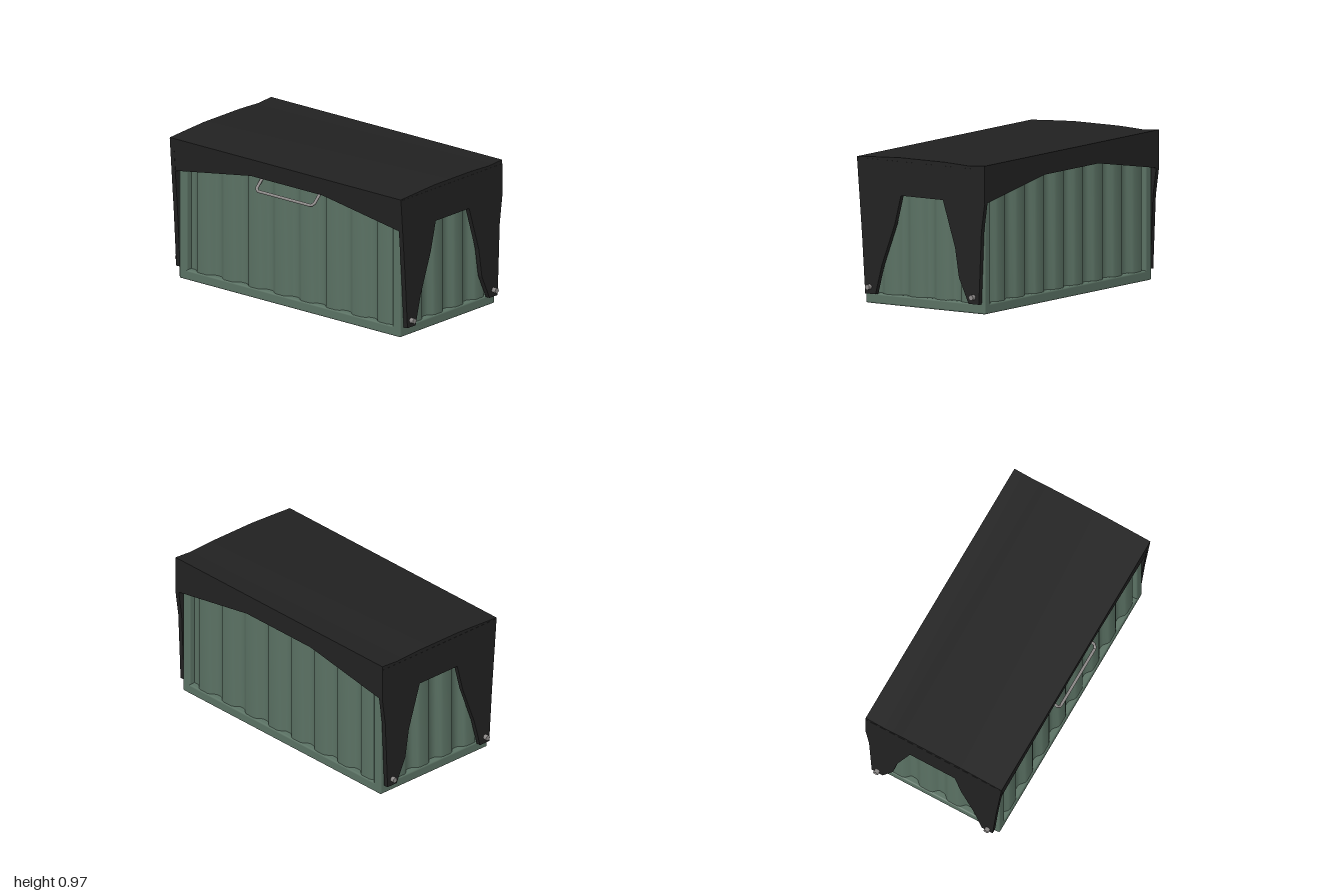
import * as THREE from 'three';
import { toCreasedNormals } from 'three/addons/utils/BufferGeometryUtils.js';
import { RoundedBoxGeometry } from 'three/addons/geometries/RoundedBoxGeometry.js';

const green = new THREE.MeshStandardMaterial({ color: 0x5a7163 });
green.name = 'container green';
const black = new THREE.MeshStandardMaterial({ color: 0x212121 });
black.name = 'cover black';
const steel = new THREE.MeshStandardMaterial({ color: 0x8d8a89 });
steel.name = 'steel grey';

// Container extents
const X = 0.93, FRONT = 0.445, BACK = -0.485, TOP = 0.935, RAIL = 0.067;
const MID = (FRONT + BACK) / 2, DEPTH = FRONT - BACK;

function add(parent, name, geometry, material) {
  const mesh = new THREE.Mesh(geometry, material);
  mesh.name = name;
  parent.add(mesh);
  return mesh;
}

function extrude(points, depth) {
  const shape = new THREE.Shape(points.map(([a, b]) => new THREE.Vector2(a, b)));
  return new THREE.ExtrudeGeometry(shape, { depth, bevelEnabled: false });
}

// Slab whose outline is given as [z, y], spanning x0 to x1
function sideSlab(points, x0, x1) {
  return extrude(points, x1 - x0).rotateY(-Math.PI / 2).translate(x1, 0, 0);
}

// Upright corrugated sheet facing +z, with its ridges at z = 0
function corrugated(length, waves) {
  const points = [[length / 2, 0.06], [-length / 2, 0.06]];
  const period = length / waves;
  for (let i = 0; i < waves; i++) {
    const start = -length / 2 + i * period;
    for (const [t, d] of [[0, 0.035], [0.16, 0.035], [0.24, 0.029], [0.36, 0.006],
      [0.44, 0], [0.76, 0], [0.84, 0.006], [0.96, 0.029]]) {
      points.push([start + t * period, d]);
    }
  }
  points.push([length / 2, 0.035]);
  const geometry = extrude(points, TOP - RAIL + 0.01).rotateX(-Math.PI / 2);
  return toCreasedNormals(geometry.translate(0, RAIL - 0.01, 0), 0.8);
}

function buildContainer(root) {
  const body = new THREE.Group();
  body.name = 'container';
  root.add(body);

  // Rails and corner posts
  const beam = (name, w, h, d, x, y, z) =>
    add(body, name, new RoundedBoxGeometry(w, h, d, 2, 0.012), green).position.set(x, y, z);
  for (const y of [RAIL / 2, TOP - RAIL / 2]) {
    for (const z of [FRONT - RAIL / 2, BACK + RAIL / 2]) beam('longRail', 2 * X, RAIL, RAIL, 0, y, z);
    for (const s of [-1, 1]) beam('endRail', RAIL, RAIL, DEPTH, s * (X - RAIL / 2), y, MID);
  }
  for (const s of [-1, 1]) {
    for (const z of [FRONT - RAIL / 2, BACK + RAIL / 2]) {
      beam('cornerPost', RAIL, TOP, RAIL, s * (X - RAIL / 2), TOP / 2, z);
    }
  }

  // Corrugated walls
  const long = 2 * (X - RAIL) + 0.01, short = DEPTH - 2 * RAIL + 0.01;
  add(body, 'frontWall', corrugated(long, 8), green).position.z = FRONT - 0.008;
  const back = add(body, 'backWall', corrugated(long, 8), green);
  back.rotation.y = Math.PI;
  back.position.z = BACK + 0.008;
  for (const s of [-1, 1]) {
    const end = add(body, 'endWall', corrugated(short, 4), green);
    end.rotation.y = s * Math.PI / 2;
    end.position.set(s * (X - 0.008), 0, MID);
  }

  // Recessed floor
  add(body, 'floor', new THREE.BoxGeometry(2 * X - 0.06, 0.02, DEPTH - 0.06), green)
    .position.set(0, 0.05, MID);
}

function buildCover(root) {
  const cover = new THREE.Group();
  cover.name = 'cover';
  root.add(cover);

  // Gently sagging top sheet
  const top = [[0.483, 0.925], [0.485, 0.946], [0.32, 0.956], [0.15, 0.965], [-0.2, 0.965],
    [-0.3, 0.961], [-0.38, 0.957], [-0.51, 0.966], [-0.51, 0.925]];
  add(cover, 'topSheet', toCreasedNormals(sideSlab(top, -0.973, 0.969), 0.5), black);

  // End sheets with a strap reaching down at each corner
  const end = [[0.42, 0.067], [0.445, 0.45], [0.484, 0.94], [-0.51, 0.94], [-0.51, 0.72],
    [-0.485, 0.54], [-0.465, 0.067], [-0.385, 0.067], [-0.31, 0.23], [-0.28, 0.42],
    [-0.185, 0.72], [0.142, 0.72], [0.19, 0.53], [0.29, 0.26], [0.34, 0.067]];
  add(cover, 'leftSheet', sideSlab(end, 0.938, 0.97), black);
  add(cover, 'rightSheet', sideSlab(end, -0.974, -0.942), black);

  // Front and back skirts with an arched lower edge
  const skirt = [[-0.972, 0.94], [-0.972, 0.715], [-0.93, 0.725], [-0.3, 0.83],
    [0.3, 0.83], [0.93, 0.725], [0.968, 0.715], [0.968, 0.94]];
  const front = extrude(skirt, 0.03);
  const p = front.attributes.position;
  for (let i = 0; i < p.count; i++) {
    p.setZ(i, p.getZ(i) + 0.434 + (p.getY(i) - 0.715) * 0.09); // flares out towards the top
  }
  front.computeVertexNormals();
  add(cover, 'frontSkirt', front, black);
  add(cover, 'backSkirt', extrude(skirt, 0.03).translate(0, 0, -0.51), black);
}

function buildHardware(root) {
  // Strap bolts
  for (const s of [-1, 1]) {
    for (const z of [0.385, -0.423]) {
      const bolt = add(root, 'bolt', new THREE.CylinderGeometry(0.018, 0.018, 0.09, 8), steel);
      bolt.rotation.z = Math.PI / 2;
      bolt.position.set(s * 0.955, 0.112, z);
    }
  }

  // Tilted U-shaped handle
  const handle = new THREE.Group();
  handle.name = 'handle';
  root.add(handle);
  const path = new THREE.CurvePath();
  const corners = [[-0.242, 0.84, 0.405], [-0.242, 0.765, 0.483], [-0.226, 0.75, 0.497],
    [0.226, 0.75, 0.497], [0.242, 0.765, 0.483], [0.242, 0.84, 0.405]]
    .map((c) => new THREE.Vector3(...c));
  for (let i = 1; i < corners.length; i++) path.add(new THREE.LineCurve3(corners[i - 1], corners[i]));
  add(handle, 'handleBar', new THREE.TubeGeometry(path, 60, 0.01, 8), steel);
}

export function createModel() {
  const root = new THREE.Group();
  root.name = 'coveredContainer';
  buildContainer(root);
  buildCover(root);
  buildHardware(root);
  return root;
}
